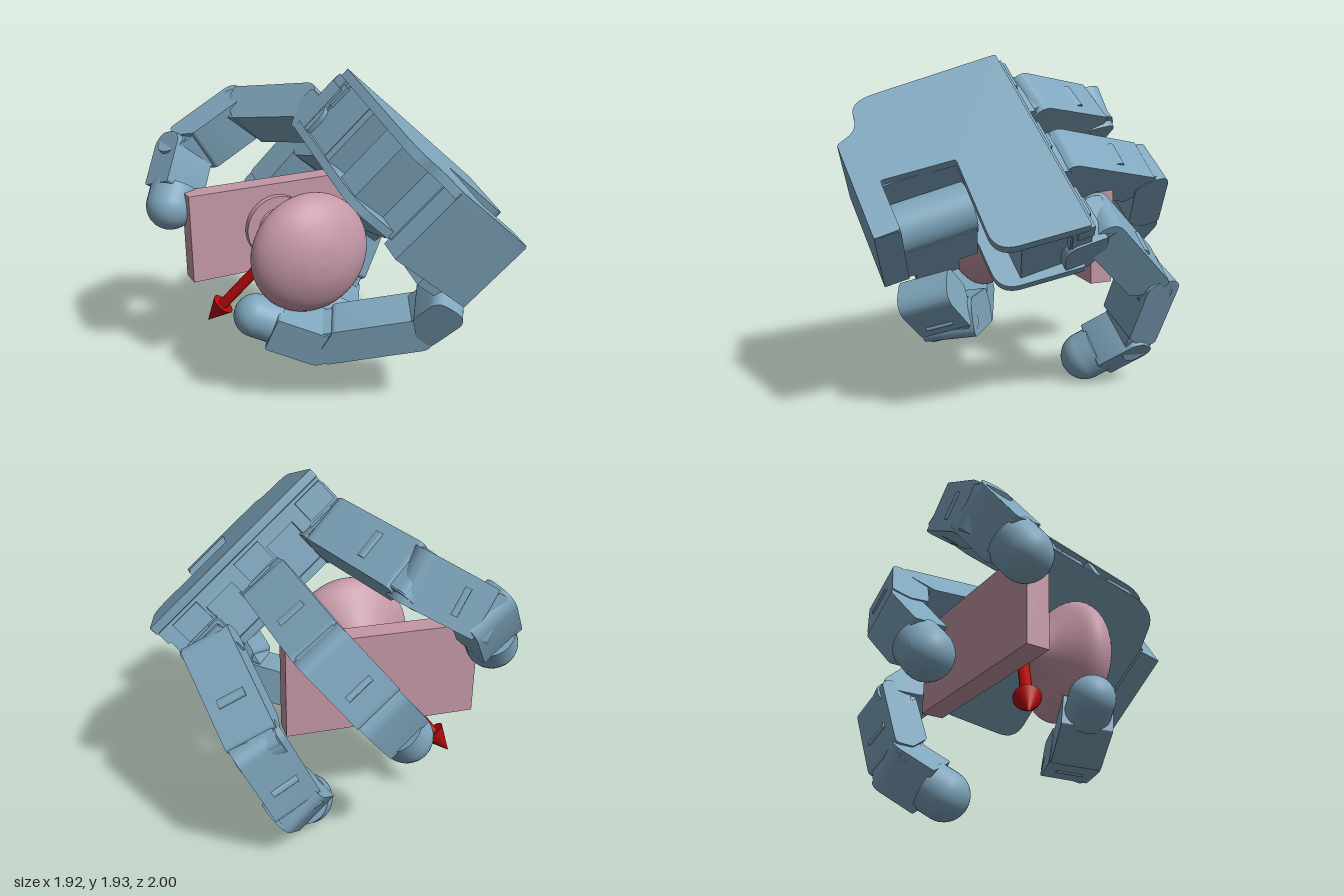
import * as THREE from 'three';
import { toCreasedNormals } from 'three/addons/utils/BufferGeometryUtils.js';

const V = (x, y, z) => new THREE.Vector3(x, y, z);
const material = (color) => new THREE.MeshStandardMaterial({ color, side: THREE.DoubleSide });

// Palm frame: U across the knuckles, N out of the back of the hand, W toward the wrist
const CORNER = V(0.02, 1.935, 0.08);
const U = V(0.765, -0.637, -0.105).normalize();
const N = V(-0.06, -0.285, 0.957).cross(U).normalize();
const W = U.clone().cross(N);

export function createModel() {
  const root = new THREE.Group();
  const blue = material(0x7fa6bd), pink = material(0xc497a7), red = material(0xb00a0a);

  const add = (parent, name, geo, mat = blue) => {
    const m = new THREE.Mesh(geo, mat);
    m.name = name;
    parent.add(m);
    return m;
  };
  const group = (parent, name) => {
    const g = new THREE.Group();
    g.name = name;
    parent.add(g);
    return g;
  };

  // Polygon with rounded corners; each point is [x, y, radius]
  const roundedShape = (pts) => {
    const s = new THREE.Shape();
    pts.forEach(([x, y, r = 0.015], i) => {
      const c = new THREE.Vector2(x, y);
      const toward = (q) => {
        const d = new THREE.Vector2(q[0], q[1]).sub(c);
        return d.setLength(Math.min(r, d.length() * 0.48)).add(c);
      };
      const a = toward(pts[(i + pts.length - 1) % pts.length]);
      const b = toward(pts[(i + 1) % pts.length]);
      if (i) s.lineTo(a.x, a.y); else s.moveTo(a.x, a.y);
      s.quadraticCurveTo(x, y, b.x, b.y);
    });
    s.closePath();
    return s;
  };
  const extrude = (pts, depth) => toCreasedNormals(new THREE.ExtrudeGeometry(roundedShape(pts),
    { depth, bevelEnabled: false, curveSegments: 8 }), 0.5);

  // ---- Palm ----
  const palm = group(root, 'palm');
  palm.quaternion.setFromRotationMatrix(new THREE.Matrix4().makeBasis(U, N, W));
  palm.position.copy(CORNER);
  const palmPlate = (name, pts, d, thick) =>
    add(palm, name, extrude(pts, thick).rotateX(Math.PI / 2).translate(0, -d, 0));
  const palmBox = (name, p0, p1, d0, d1, q0, q1) =>
    add(palm, name, new THREE.BoxGeometry(p1 - p0, d1 - d0, q1 - q0)
      .translate((p0 + p1) / 2, -(d0 + d1) / 2, (q0 + q1) / 2));

  palmPlate('backPlate', [[0, 0], [1.235, 0], [1.2, 0.49, 0.12], [0.61, 0.465], [0.59, 0.86],
    [0.905, 0.86], [0.91, 0.995], [0.29, 0.995], [0.23, 0.87, 0.08], [0.03, 0.85, 0.14]], 0, 0.05);
  palmPlate('palmPlate', [[0, 0], [1.235, 0], [1.2, 0.47, 0.12], [0.61, 0.46], [0.61, 0.86],
    [0.28, 0.86], [0.02, 0.8, 0.18]], 0.385, 0.045);
  [0.14, 0.605, 1.07].forEach((p) => {
    palmBox('fingerMotor', p - 0.1, p + 0.1, 0.04, 0.4, 0.05, 0.34);
    palmBox('knuckleMount', p - 0.135, p + 0.135, 0.1, 0.43, -0.03, 0.08);
    palmBox('knuckleStep', p - 0.12, p + 0.06, 0.07, 0.2, -0.05, 0.1);
  });
  palmBox('knuckleRim', 0.01, 1.22, 0.05, 0.13, -0.03, 0.06);
  palmBox('knuckleWall', 0.03, 1.2, 0.04, 0.39, 0.03, 0.09);
  palmBox('sideStrut', 0.02, 0.3, 0.04, 0.39, 0.37, 0.42);
  palmBox('sideBlock', 0.05, 0.3, 0.04, 0.39, 0.55, 0.73);
  palmBox('innerBody', 0.28, 0.6, 0.04, 0.42, 0.38, 0.88);
  palmBox('wristBlock', 0.29, 0.91, 0.01, 0.46, 0.86, 0.995);

  // Thumb motor lying in the notch of the palm, with the thumb bracket below it
  palmBox('thumbMotorBody', 0.59, 0.9, 0.23, 0.46, 0.47, 0.88);
  add(palm, 'thumbMotor', new THREE.CylinderGeometry(0.14, 0.14, 0.42, 32)
    .rotateX(Math.PI / 2).translate(0.755, -0.23, 0.67));
  palmBox('thumbBracket', 0.72, 0.9, 0.45, 0.55, 0.58, 0.82);

  // ---- Finger links ----
  // Local frame of a link: x along it, y out of the back, z along the hinge
  const linkFrame = (parent, name, a, b, axis) => {
    const g = group(parent, name);
    const x = b.clone().sub(a).normalize();
    const z = axis.clone().addScaledVector(x, -axis.dot(x)).normalize();
    g.quaternion.setFromRotationMatrix(new THREE.Matrix4().makeBasis(x, z.clone().cross(x), z));
    g.position.copy(a);
    return g;
  };
  const slab = (parent, name, pts, width) =>
    add(parent, name, extrude(pts, width).translate(0, 0, -width / 2));

  const link = (parent, name, a, b, axis, width, t) => {
    const g = linkFrame(parent, name, a, b, axis), L = a.distanceTo(b);
    slab(g, 'shell', [[-t * 0.8, -t * 0.7, 0.05], [-t * 0.4, -t, 0.03], [L - 0.12, -t],
      [L - 0.03, 0], [L - 0.03, t, 0.03], [-t * 0.5, t, 0.04], [-t * 0.9, t * 0.5, 0.05]], width);
    slab(g, 'rearLedge', [[L * 0.42, t - 0.02], [L * 0.56, t - 0.02], [L * 0.56, t + 0.012], [L * 0.5, t + 0.012]], width * 0.55);
    slab(g, 'endLug', [[L - 0.2, -t * 0.85], [L + t * 0.6, -t * 0.85, 0.06],
      [L + t * 0.6, t * 0.92, 0.05], [L - 0.2, t * 0.92]], width * 0.85);
    add(g, 'hinge', new THREE.CylinderGeometry(t * 0.9, t * 0.9, width * 0.9, 28)
      .rotateX(Math.PI / 2).translate(L, 0, 0));
  };
  const tip = (parent, a, b, axis, width, t, r) => {
    const g = linkFrame(parent, 'fingertip', a, b, axis), L = a.distanceTo(b);
    slab(g, 'tipShell', [[-t * 0.8, -t * 0.6, 0.04], [-t * 0.4, -t, 0.03], [L * 0.72, -t],
      [L * 0.72, t], [-t * 0.4, t, 0.04], [-t * 0.9, t * 0.5, 0.04]], width * 0.96);
    add(g, 'padCollar', new THREE.CylinderGeometry(r, r, L * 0.35, 32)
      .rotateZ(Math.PI / 2).translate(L * 0.825, 0, 0));
    add(g, 'pad', new THREE.SphereGeometry(r, 32, 24).translate(L, 0, 0));
  };
  const chain = (name, names, pts, axis, width, t, r) => {
    const g = group(root, name), last = pts.length - 2;
    names.forEach((n, i) => link(g, n, pts[i], pts[i + 1], axis, width, t));
    tip(g, pts[last], pts[last + 1], axis, width, t, r);
  };

  const fingers = [
    ['upperFinger', [V(-0.075, 1.6, 0), V(-0.066, 1.645, -0.17), V(-0.32, 1.55, -0.69), V(-0.675, 1.335, -0.72), V(-0.82, 1.08, -0.57)]],
    ['middleFinger', [V(0.28, 1.31, -0.05), V(0.29, 1.355, -0.22), V(0.17, 1.235, -0.78), V(-0.07, 0.95, -0.875), V(-0.26, 0.71, -0.79)]],
    ['lowerFinger', [V(0.636, 1.015, -0.09), V(0.645, 1.06, -0.26), V(0.5, 0.69, -0.655), V(0.31, 0.3, -0.635), V(0.18, 0.145, -0.43)]],
  ];
  fingers.forEach(([name, pts]) =>
    chain(name, ['knuckle', 'proximalLink', 'middleLink'], pts, U, 0.285, 0.11, 0.142));

  // Thumb, reaching under the knob from the wrist
  chain('thumb', ['thumbBase', 'thumbLink'],
    [V(0.365, 0.69, 0.59), V(0.27, 0.52, 0.45), V(-0.22, 0.415, 0.17), V(-0.54, 0.56, 0.03)],
    V(-0.44, -0.14, 0.88), 0.285, 0.108, 0.125);

  // ---- Door knob on its plate ----
  const knob = group(root, 'knob');
  knob.position.set(-0.22, 0.91, 0);
  const profile = new THREE.SplineCurve([[0.14, -0.39], [0.12, -0.32], [0.1, -0.23], [0.115, -0.17], [0.17, -0.1],
    [0.26, -0.03], [0.33, 0.03], [0.355, 0.09], [0.33, 0.16], [0.25, 0.23], [0.12, 0.285], [0, 0.3]]
    .map(([r, z]) => new THREE.Vector2(r, z))).getPoints(44);
  profile.forEach((p) => { p.x = Math.max(p.x, 0); });
  add(knob, 'knobHandle', new THREE.LatheGeometry(profile, 48).rotateX(Math.PI / 2), pink);
  add(knob, 'rosette', new THREE.CylinderGeometry(0.2, 0.2, 0.04, 40)
    .rotateX(Math.PI / 2).translate(0, 0, -0.37), pink);
  add(knob, 'doorPlate', new THREE.BoxGeometry(1.08, 0.54, 0.13).translate(0, 0, -0.455), pink);

  // ---- Direction arrow ----
  const arrow = group(root, 'arrow');
  const from = V(-0.22, 0.91, -0.2), to = V(-0.67, 0.34, -0.45), len = from.distanceTo(to);
  arrow.position.copy(from);
  arrow.quaternion.setFromUnitVectors(V(0, 1, 0), to.clone().sub(from).normalize());
  add(arrow, 'arrowShaft', new THREE.CylinderGeometry(0.032, 0.032, len - 0.14, 24).translate(0, (len - 0.14) / 2, 0), red);
  add(arrow, 'arrowHead', new THREE.ConeGeometry(0.072, 0.15, 24).translate(0, len - 0.075, 0), red);

  return root;
}
